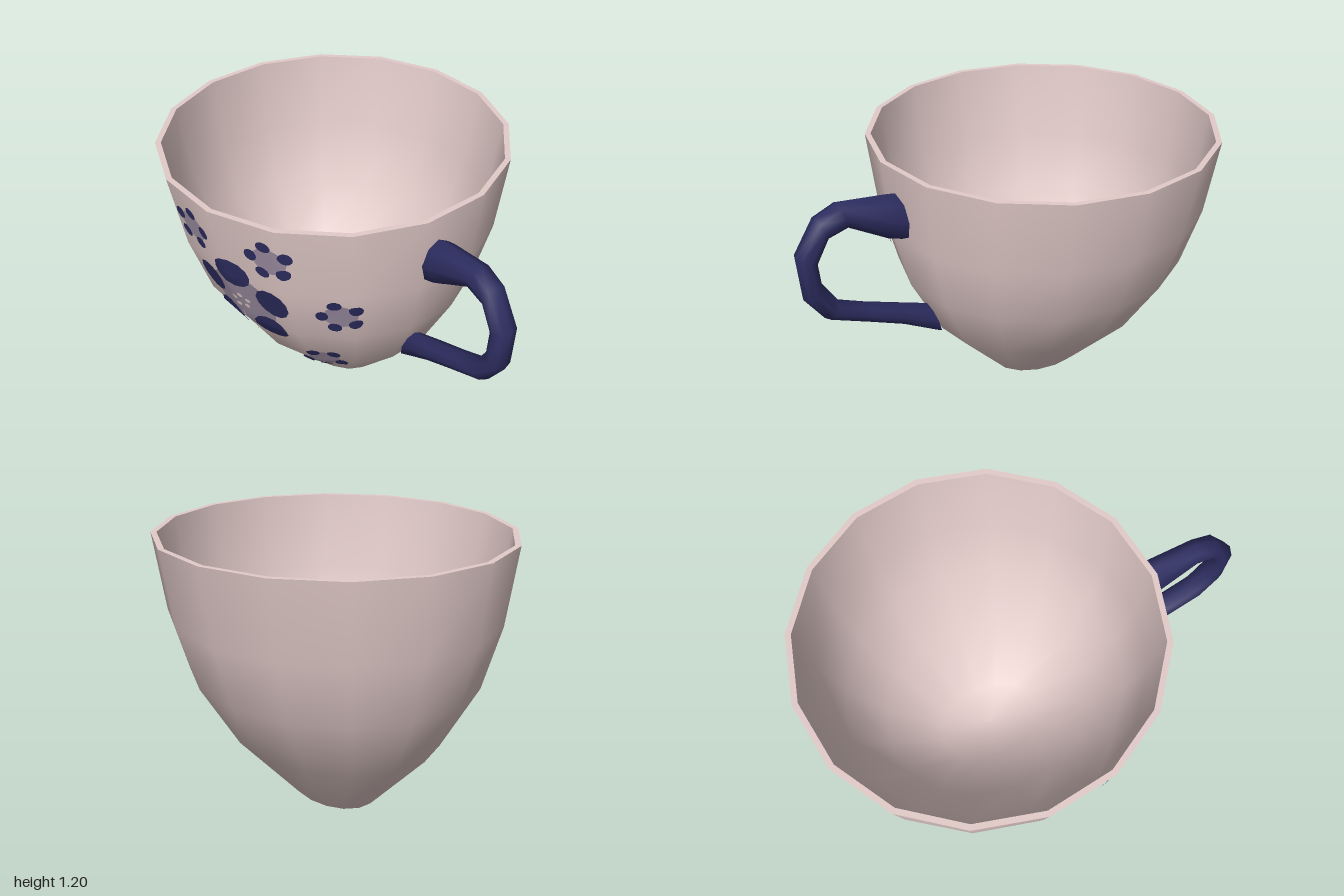
import * as THREE from 'three';

const CZ = -0.22;          // cup axis
const SIDES = 16;
const mat = (name, color) => Object.assign(new THREE.MeshStandardMaterial({ color }), { name });

// Skin a list of closed rings, all with the same number of points
function loft(rings) {
  const n = rings[0].length, idx = [];
  for (let i = 0; i < rings.length - 1; i++)
    for (let j = 0; j < n; j++) {
      const k = (j + 1) % n;
      const a = i * n + j, b = i * n + k, c = (i + 1) * n + k, d = (i + 1) * n + j;
      idx.push(a, b, c, a, c, d);
    }
  const g = new THREE.BufferGeometry().setFromPoints(rings.flat());
  g.setIndex(idx);
  g.computeVertexNormals();
  return g;
}

// Oval ring of the cup: height, x radius, z radius
const cupRing = ([y, rx, rz]) => Array.from({ length: SIDES }, (_, j) => {
  const t = (17.5 + j * 360 / SIDES) * Math.PI / 180;
  return new THREE.Vector3(rx * Math.sin(t), y, CZ + rz * Math.cos(t));
});

export function createModel() {
  const group = new THREE.Group();
  const china = mat('palePinkChina', 0xe2cbc9);
  const navy = mat('navyGlaze', 0x2d2d61);
  const lilac = mat('lilacGlaze', 0x9c8da1);

  const add = (name, geometry, material, parent = group) => {
    const m = new THREE.Mesh(geometry, material);
    m.name = name;
    parent.add(m);
    return m;
  };

  // Cup body, each smooth zone separate so its borders stay sharp
  const outer = [[0, 0.17, 0.245], [0.3, 0.45, 0.53], [0.58, 0.625, 0.675], [0.86, 0.715, 0.745], [1.2, 0.775, 0.78]];
  const inner = [[1.2, 0.75, 0.755], [0.86, 0.69, 0.72], [0.58, 0.6, 0.65], [0.3, 0.42, 0.5], [0.06, 0.18, 0.25], [0.05, 0, 0]];
  const zones = {
    baseRecess: [[0.02, 0, 0], [0.02, 0.145, 0.215]],
    footRing: [[0.02, 0.145, 0.215], [0, 0.15, 0.222], [0, 0.17, 0.245]],
    cupWall: outer,
    rim: [outer[4], inner[0]],
    cupInside: inner,
  };
  for (const [name, profile] of Object.entries(zones)) add(name, loft(profile.map(cupRing)), china);
  const wall = group.getObjectByName('cupWall');

  // Handle: outer z, y, inner z, y, half width
  const sections = [
    [0.53, 1.08, 0.51, 0.86, 0.075], [0.57, 1.09, 0.58, 0.885, 0.075],
    [0.80, 1.12, 0.77, 1.00, 0.055], [0.90, 1.08, 0.86, 0.98, 0.055],
    [1.00, 0.93, 0.91, 0.89, 0.055], [0.985, 0.73, 0.90, 0.78, 0.055],
    [0.90, 0.61, 0.83, 0.67, 0.055], [0.72, 0.53, 0.70, 0.61, 0.055],
    [0.55, 0.45, 0.56, 0.555, 0.055], [0.35, 0.33, 0.41, 0.50, 0.05],
  ];
  add('handle', loft(sections.map(([oz, oy, iz, iy, w]) => Array.from({ length: 8 }, (_, j) => {
    const t = j * Math.PI / 4, c = Math.cos(t) / 2;
    return new THREE.Vector3(0.005 - w * Math.sin(t), (oy + iy) / 2 + (oy - iy) * c, (oz + iz) / 2 + (oz - iz) * c);
  }))), navy);

  // Place a point just off the cup wall; angle runs from -x towards +z
  const ray = new THREE.Raycaster();
  const onWall = (deg, y0) => (u, v, lift) => {
    const y = y0 + v;
    const r = THREE.MathUtils.mapLinear(Math.min(y, 0.7), 0.3, 0.7, 0.47, 0.68);
    const a = deg * Math.PI / 180 + u / r;
    const out = new THREE.Vector3(-Math.cos(a), 0, Math.sin(a));
    ray.set(new THREE.Vector3(0, y, CZ).addScaledVector(out, 2), out.clone().negate());
    const hit = ray.intersectObject(wall)[0];
    return hit.point.clone().addScaledVector(hit.face.normal, lift);
  };
  const onBase = (u, v, lift) => new THREE.Vector3(u, 0.02 - lift, CZ + v);

  // Painted dot wrapped on a surface
  function dot(name, place, u, v, ru, rv, turn, lift, material, parent) {
    const g = new THREE.RingGeometry(0.001, 1, 12, 4);
    g.scale(ru, rv, 1).rotateZ(turn).translate(u, v, 0);
    const p = g.attributes.position;
    for (let i = 0; i < p.count; i++) {
      const q = place(p.getX(i), p.getY(i), lift);
      p.setXYZ(i, q.x, q.y, q.z);
    }
    g.computeVertexNormals();
    add(name, g, material, parent);
  }

  // Five-petalled flower of overall radius size
  function flower(name, place, size, petalSize, turn, centreDots) {
    const f = new THREE.Group();
    f.name = name;
    group.add(f);
    dot('flowerCentre', place, 0, 0, size * 0.68, size * 0.68, 0, 0.005, lilac, f);
    for (let i = 0; i < 5; i++) {
      const a = turn + i * Math.PI * 0.4, d = size * (1 - petalSize);
      dot('petal', place, d * Math.cos(a), d * Math.sin(a), size * petalSize, size * petalSize * 1.15, a, 0.008, navy, f);
      if (centreDots) dot('pollen', place, 0.035 * Math.cos(a), 0.035 * Math.sin(a), 0.013, 0.013, 0, 0.008, china, f);
    }
  }

  // One large flower with three small ones on each side of it
  const MID = 21;
  flower('largeFlower', onWall(MID, 0.71), 0.25, 0.3, Math.PI / 2, true);
  for (const s of [-1, 1])
    for (const [deg, y, turn] of [[16, 1.03, 1.75], [38, 0.74, 1.9], [30, 0.335, 2.2]])
      flower('smallFlower', onWall(MID + s * deg, y), 0.103, 0.26, s > 0 ? turn : Math.PI - turn, false);
  flower('baseFlower', onBase, 0.1, 0.26, Math.PI / 2, false);

  return group;
}
